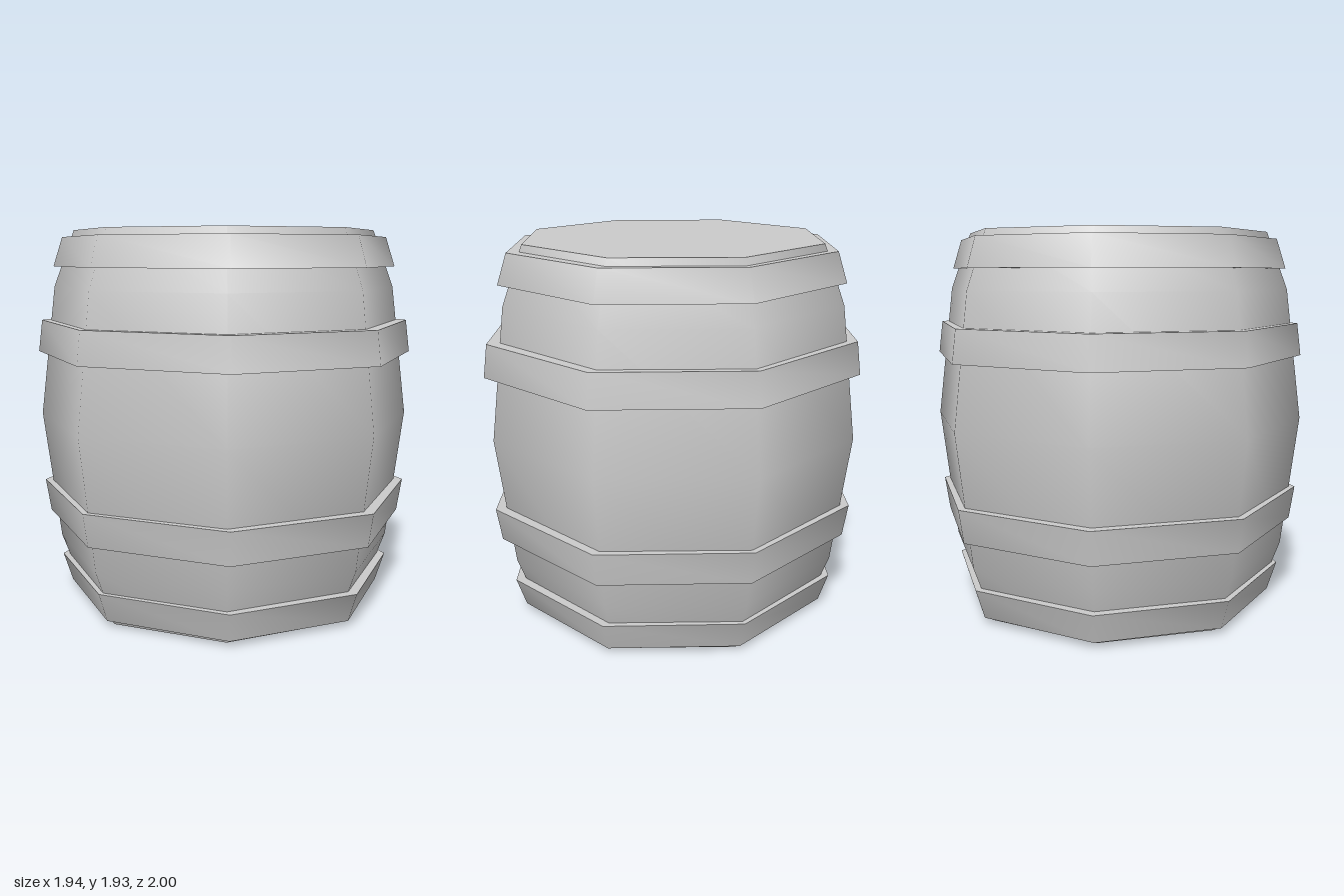
import * as THREE from 'three';
import { toCreasedNormals } from 'three/addons/utils/BufferGeometryUtils.js';

const SIDES = 8;

// Eight-sided turned shape, smooth around its girth, with sharp rims
function turned(name, points, material) {
  const profile = points.map(([r, y]) => new THREE.Vector2(r, y));
  const geometry = toCreasedNormals(new THREE.LatheGeometry(profile, SIDES), 1.0);
  const mesh = new THREE.Mesh(geometry, material);
  mesh.name = name;
  return mesh;
}

export function createModel() {
  const group = new THREE.Group();
  group.name = 'barrel';
  const material = new THREE.MeshStandardMaterial({ color: 0xcccccc });

  // Bulging body with flat lid and base
  group.add(turned('body', [
    [0, 0], [0.78, 0], [0.888, 0.29], [0.972, 0.97],
    [0.888, 1.64], [0.78, 1.93], [0, 1.93],
  ], material));

  // Hoops: bottom height and radius, top height and radius, depth stretch
  const hoops = [
    ['bottomHoop', 0.03, 0.825, 0.18, 0.873, 1.03],
    ['lowerHoop', 0.43, 0.931, 0.6, 0.957, 1.027],
    ['upperHoop', 1.3, 0.967, 1.465, 0.946, 1.033],
    ['topHoop', 1.745, 0.878, 1.895, 0.83, 1.033],
  ];
  for (const [name, y0, r0, y1, r1, stretch] of hoops) {
    const inner0 = r0 - 0.09, inner1 = r1 - 0.09;
    const hoop = turned(name, [
      [inner0, y0], [r0, y0], [r1, y1], [inner1, y1], [inner0, y0],
    ], material);
    hoop.scale.z = stretch;
    group.add(hoop);
  }

  return group;
}
